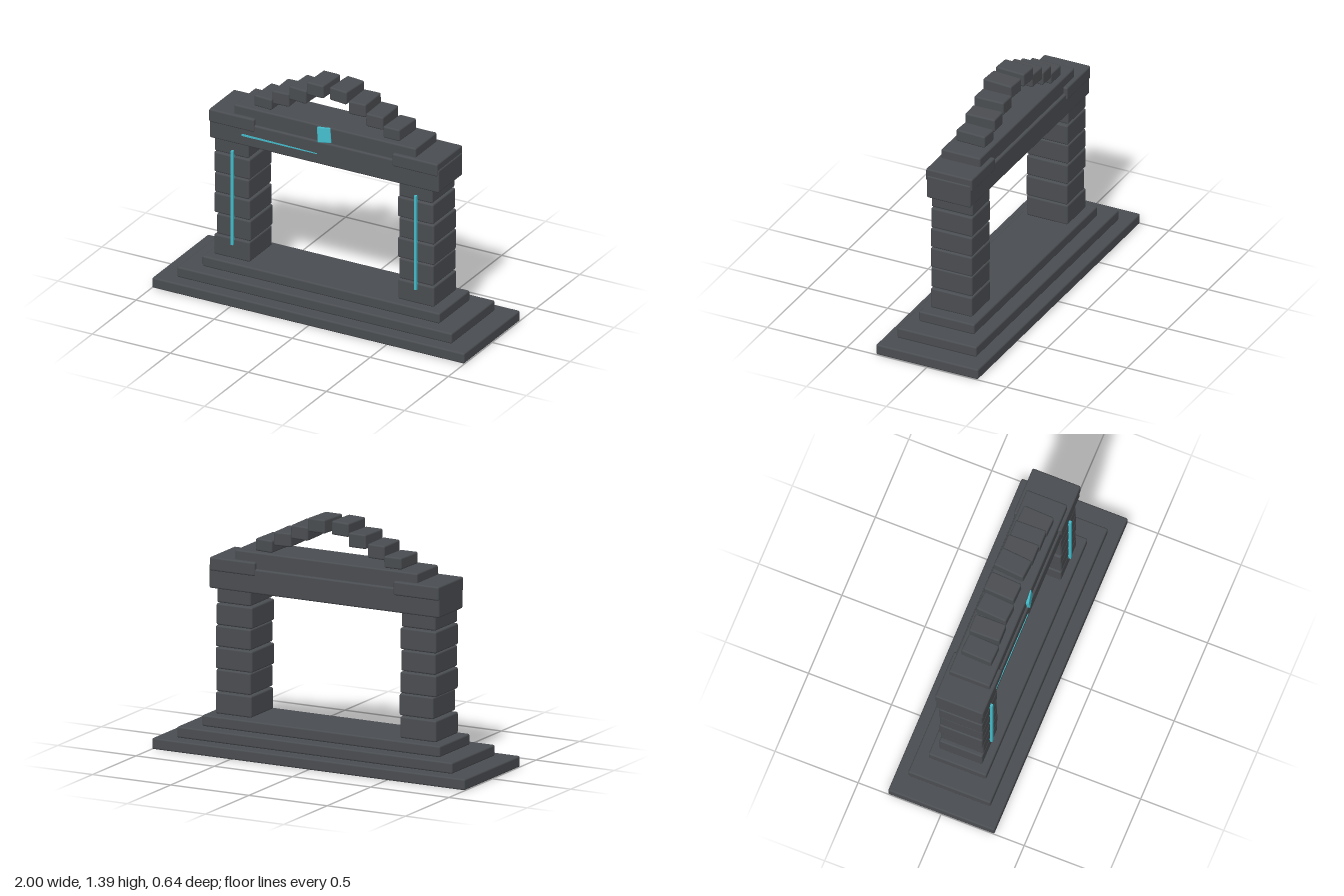
import * as THREE from 'three';
import { RoundedBoxGeometry } from 'three/addons/geometries/RoundedBoxGeometry.js';

export function createModel() {
  const group = new THREE.Group();
  const stone = new THREE.MeshStandardMaterial({ color: 0x4a4d51 });
  stone.name = 'dark stone';
  const glow = new THREE.MeshStandardMaterial({ color: 0x43b9c8 });
  glow.name = 'cyan inlay';

  // Softly bevelled block given by its extents [min, max] on each axis
  function block(name, [x0, x1], [y0, y1], [z0, z1], rot = [0, 0, 0], bevel = 0.01, mat = stone) {
    const geo = new RoundedBoxGeometry(x1 - x0, y1 - y0, z1 - z0, 2, bevel);
    const mesh = new THREE.Mesh(geo, mat);
    mesh.name = name;
    mesh.position.set((x0 + x1) / 2, (y0 + y1) / 2, (z0 + z1) / 2);
    mesh.rotation.set(...rot);
    group.add(mesh);
    return mesh;
  }

  // Stepped base
  [[1, 0.32], [0.88, 0.248], [0.76, 0.174]].forEach(([x, z], i) =>
    block('step' + (i + 1), [-x, x], [i * 0.065, i * 0.065 + 0.064], [-z, z]));

  // Pillars of slightly uneven stacked blocks
  const courses = [
    [0.2, 0.324, -0.71, -0.48, 0.47, 0.7],
    [0.33, 0.456, -0.692, -0.475, 0.475, 0.696],
    [0.459, 0.582, -0.71, -0.48, 0.465, 0.7],
    [0.587, 0.707, -0.706, -0.486, 0.475, 0.7],
    [0.711, 0.835, -0.71, -0.48, 0.465, 0.695],
    [0.841, 0.96, -0.706, -0.488, 0.475, 0.69],
  ];
  courses.forEach(([y0, y1, a, b, c, d], i) => {
    block('rightPillarBlock' + (i + 1), [a, b], [y0, y1], [-0.129, 0.13]);
    block('leftPillarBlock' + (i + 1), [c, d], [y0, y1], [-0.129, 0.13]);
  });

  // Lintel, end caps and upper slab
  block('lintel', [-0.735, 0.735], [0.92, 1.06], [-0.138, 0.138]);
  block('rightCap', [-0.735, -0.445], [1.02, 1.1], [-0.145, 0.145]);
  block('leftCap', [0.44, 0.73], [1.022, 1.1], [-0.145, 0.145]);
  block('upperSlab', [-0.585, 0.58], [1.035, 1.155], [-0.12, 0.125]);

  // Broken arch: x, y, width, height, turn about y
  const arch = [
    [-0.415, 1.19, 0.115, 0.068, -0.04], [-0.305, 1.24, 0.108, 0.082, 0.01],
    [-0.19, 1.289, 0.115, 0.083, -0.07], [-0.08, 1.345, 0.112, 0.08, -0.05],
    [0.07, 1.345, 0.115, 0.08, -0.08], [0.185, 1.291, 0.11, 0.08, 0.01],
    [0.295, 1.24, 0.11, 0.08, 0.02], [0.408, 1.191, 0.108, 0.072, -0.04],
  ];
  arch.forEach(([x, y, w, h, turn], i) =>
    block('archBlock' + (i + 1), [x - w / 2, x + w / 2], [y - h / 2, y + h / 2],
      [-0.092, 0.092], [0, turn, i % 2 ? 0.02 : -0.02]));

  // Glowing inlays on the front
  for (const s of [-1, 1]) {
    block(s < 0 ? 'rightPillarInlay' : 'leftPillarInlay',
      [s * 0.587 - 0.008, s * 0.587 + 0.008], [0.288, 0.872], [0.125, 0.145], [0, 0, 0], 0.002, glow);
  }
  // Tapered lintel inlay
  const taper = new THREE.Shape([[-0.525, 0.992], [-0.525, 0.98], [-0.045, 0.981], [-0.045, 0.985]]
    .map(([x, y]) => new THREE.Vector2(x, y)));
  const inlay = new THREE.Mesh(
    new THREE.ExtrudeGeometry(taper, { depth: 0.007, bevelEnabled: false }), glow);
  inlay.name = 'lintelInlay';
  inlay.position.z = 0.135;
  group.add(inlay);

  // Tilted keystone crystal
  block('crystal', [-0.042, 0.038], [1.06, 1.15], [0.118, 0.138], [-0.08, 0.2, 0.1], 0.004, glow);

  return group;
}
